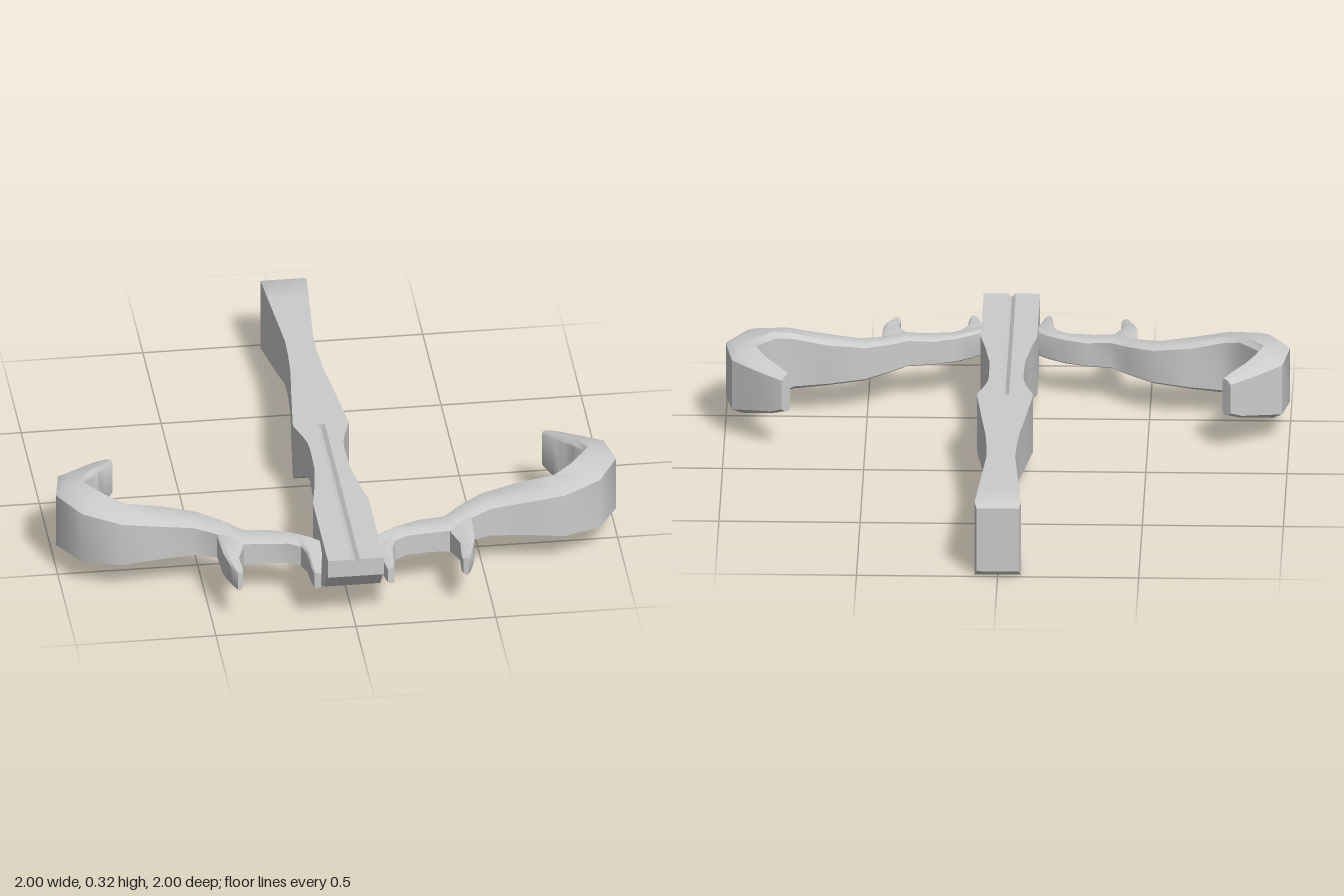
import * as THREE from 'three';
import { toCreasedNormals } from 'three/addons/utils/BufferGeometryUtils.js';

// Skin a list of rings (counter-clockwise seen from the travel direction), capped at both ends
function loft(rings) {
  const n = rings[0].length, last = rings.length - 1, pos = [], idx = [];
  rings.forEach(r => r.forEach(p => pos.push(...p)));
  for (let i = 0; i < last; i++) {
    for (let j = 0; j < n; j++) {
      const k = (j + 1) % n;
      const a = i * n + j, b = i * n + k, c = b + n, d = a + n;
      idx.push(a, b, c, a, c, d);
    }
  }
  for (const row of [0, last]) {
    const centre = [0, 1, 2].map(e => rings[row].reduce((s, p) => s + p[e], 0) / n);
    const ci = pos.length / 3;
    pos.push(...centre);
    for (let j = 0; j < n; j++) {
      const a = row * n + j, b = row * n + (j + 1) % n;
      idx.push(...(row ? [ci, a, b] : [ci, b, a]));
    }
  }
  const g = new THREE.BufferGeometry();
  g.setAttribute('position', new THREE.Float32BufferAttribute(pos, 3));
  g.setIndex(idx);
  return toCreasedNormals(g, 0.7);
}

// Limb cross-section: [position from outer to inner edge, relative height]
const PROFILE = [
  [0, -0.78], [0.3, -0.93], [0.85, -1], [1, -0.85],
  [1, 0.85], [0.85, 1], [0.3, 0.93], [0, 0.78],
];

// Station: outer x, z, inner x, z, half height, centre height
function limbRings(stations, side) {
  return stations.map(([ox, oz, ix, iz, h, y]) => {
    const ring = PROFILE.map(([t, s]) => [side * (ox + (ix - ox) * t), y + s * h, oz + (iz - oz) * t]);
    return side < 0 ? ring.reverse() : ring;
  });
}

const LIMB = [
  [0.06, 0.85, 0.06, 0.80, 0.047, 0.18],
  [0.15, 0.805, 0.13, 0.735, 0.05, 0.18],
  [0.21, 0.765, 0.19, 0.695, 0.05, 0.18],
  [0.30, 0.755, 0.27, 0.665, 0.05, 0.18],
  [0.38, 0.755, 0.36, 0.66, 0.055, 0.18],
  [0.45, 0.69, 0.42, 0.605, 0.06, 0.183],
  [0.53, 0.65, 0.51, 0.545, 0.07, 0.185],
  [0.66, 0.652, 0.64, 0.52, 0.086, 0.19],
  [0.79, 0.655, 0.76, 0.528, 0.106, 0.193],
  [0.925, 0.59, 0.82, 0.49, 0.125, 0.195],
  [1.0, 0.455, 0.89, 0.40, 0.13, 0.195],
  [0.975, 0.31, 0.865, 0.35, 0.12, 0.195],
  [0.90, 0.25, 0.83, 0.295, 0.1, 0.2],
  [0.835, 0.20, 0.80, 0.26, 0.085, 0.205],
  [0.795, 0.18, 0.767, 0.21, 0.07, 0.21],
];
const OUTER_PRONG = [
  [0.35, 0.70, 0.455, 0.68, 0.052, 0.18],
  [0.375, 0.775, 0.45, 0.80, 0.05, 0.18],
  [0.395, 0.83, 0.44, 0.85, 0.046, 0.178],
  [0.39, 0.90, 0.425, 0.90, 0.04, 0.175],
  [0.393, 0.927, 0.412, 0.932, 0.035, 0.175],
];
const INNER_PRONG = [
  [0.09, 0.77, 0.19, 0.75, 0.048, 0.18],
  [0.098, 0.82, 0.165, 0.80, 0.047, 0.18],
  [0.105, 0.87, 0.152, 0.84, 0.043, 0.178],
  [0.115, 0.93, 0.148, 0.92, 0.036, 0.175],
  [0.12, 0.962, 0.143, 0.958, 0.032, 0.175],
];

// Stock station: z, half width, bottom, top, groove depth
const TOP = 0.275;
const STOCK = [
  [-1, 0.075, 0.02, 0.26, 0],
  [-0.98, 0.082, 0, TOP, 0],
  [-0.85, 0.073, 0.027, TOP, 0],
  [-0.7, 0.062, 0.06, TOP, 0],
  [-0.55, 0.051, 0.098, TOP, 0],
  [-0.45, 0.053, 0.105, TOP, 0],
  [-0.33, 0.06, 0.102, TOP, 0],
  [-0.2, 0.075, 0.088, TOP, 0],
  [0.04, 0.1, 0.06, TOP, 0],
  [0.045, 0.099, 0.06, TOP, 0],
  [0.045, 0.099, 0.06, TOP, 0.012],
  [0.13, 0.073, 0.118, TOP, 0.012],
  [0.17, 0.064, 0.138, TOP, 0.012],
  [0.22, 0.061, 0.145, TOP, 0.012],
  [0.35, 0.063, 0.12, TOP, 0.012],
  [0.48, 0.08, 0.077, TOP, 0.012],
  [0.59, 0.1, 0.053, TOP, 0.012],
  [0.64, 0.1, 0.046, TOP, 0.012],
  [0.79, 0.1, 0.057, TOP, 0.012],
  [0.9, 0.1, 0.113, TOP, 0.012],
  [0.935, 0.1, 0.15, TOP, 0.012],
  [0.97, 0.1, 0.198, TOP, 0.012],
  [1, 0.1, 0.207, TOP, 0.012],
];

export function createModel() {
  const model = new THREE.Group();
  model.name = 'crossbow';
  const material = new THREE.MeshStandardMaterial({ color: 0xcccccc });
  const add = (name, rings, parent) => {
    const mesh = new THREE.Mesh(loft(rings), material);
    mesh.name = name;
    parent.add(mesh);
  };

  // Stock with a shallow bolt groove along the front half of its top
  const g = 0.014;
  add('stock', STOCK.map(([z, w, bottom, top, d]) => [
    [-w, bottom, z], [w, bottom, z], [w, top, z],
    [g, top, z], [0, top - d, z], [-g, top, z], [-w, top, z],
  ]), model);

  // Mirrored bow limbs, each with two forward prongs
  for (const side of [1, -1]) {
    const bow = new THREE.Group();
    bow.name = side > 0 ? 'leftBow' : 'rightBow';
    add('limb', limbRings(LIMB, side), bow);
    add('outerProng', limbRings(OUTER_PRONG, side), bow);
    add('innerProng', limbRings(INNER_PRONG, side), bow);
    model.add(bow);
  }
  return model;
}
